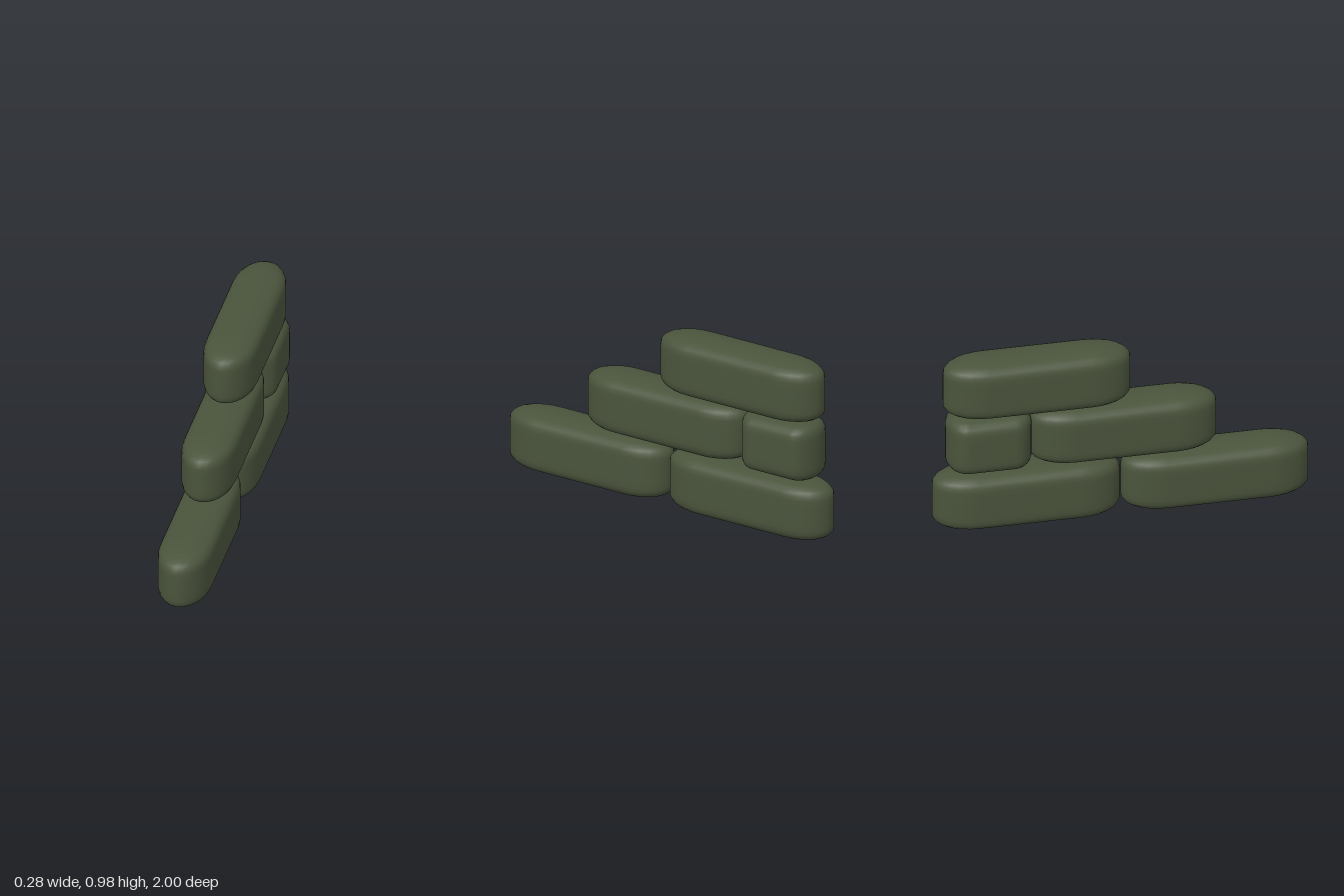
import * as THREE from 'three';
import { mergeVertices } from 'three/addons/utils/BufferGeometryUtils.js';

const HALF_WIDTH = 0.141, END = 0.23, STRAIGHT = 0.268;

// half profile of a bag: [outline scale, height from its middle]
const upper = [[1, 0.05], [1, 0.085], [0.98, 0.107], [0.92, 0.125], [0.82, 0.139],
  [0.68, 0.149], [0.48, 0.157], [0.25, 0.162], [0, 0.164]];
const profile = [...upper.map(([s, y]) => [s, -y]).reverse(), ...upper];

// soft bag: elliptical ends on a straight middle, stacked rings closing to a ridge
function bagGeometry() {
  const positions = [], index = [], steps = 12, rows = profile.length;
  const columns = 2 * (steps + 1);
  for (const side of [1, -1]) {
    for (let i = 0; i <= steps; i++) {
      const a = (i / steps - 0.5) * Math.PI;
      for (const [s, y] of profile) {
        positions.push(side * HALF_WIDTH * s * Math.sin(a), y,
          side * (STRAIGHT + END * s * Math.cos(a)));
      }
    }
  }
  for (let i = 0; i < columns; i++) {
    const p = i * rows, q = ((i + 1) % columns) * rows;
    for (let j = 0; j < rows - 1; j++) {
      index.push(p + j, q + j, q + j + 1, p + j, q + j + 1, p + j + 1);
    }
  }
  const geometry = new THREE.BufferGeometry();
  geometry.setAttribute('position', new THREE.Float32BufferAttribute(positions, 3));
  geometry.setIndex(index);
  const merged = mergeVertices(geometry, 1e-5);
  merged.computeVertexNormals();
  return merged;
}

export function createModel() {
  const group = new THREE.Group();
  group.name = 'sandbagWall';
  const geometry = bagGeometry();
  const material = new THREE.MeshStandardMaterial({ color: 0x4a543c });

  // name, middle height, back end, front end
  const bags = [
    ['bottomFrontBag', 0.167, 0.003, 1],
    ['bottomBackBag', 0.167, -1, -0.003],
    ['middleFrontBag', 0.5, -0.485, 0.51],
    ['middleBackHalfBag', 0.5, -0.927, -0.475],
    ['topBag', 0.818, -0.942, 0.054],
  ];
  for (const [name, y, back, front] of bags) {
    const bag = new THREE.Mesh(geometry, material);
    bag.name = name;
    bag.position.set(0, y, (back + front) / 2);
    bag.scale.z = (front - back) / (2 * (STRAIGHT + END));
    group.add(bag);
  }
  return group;
}
